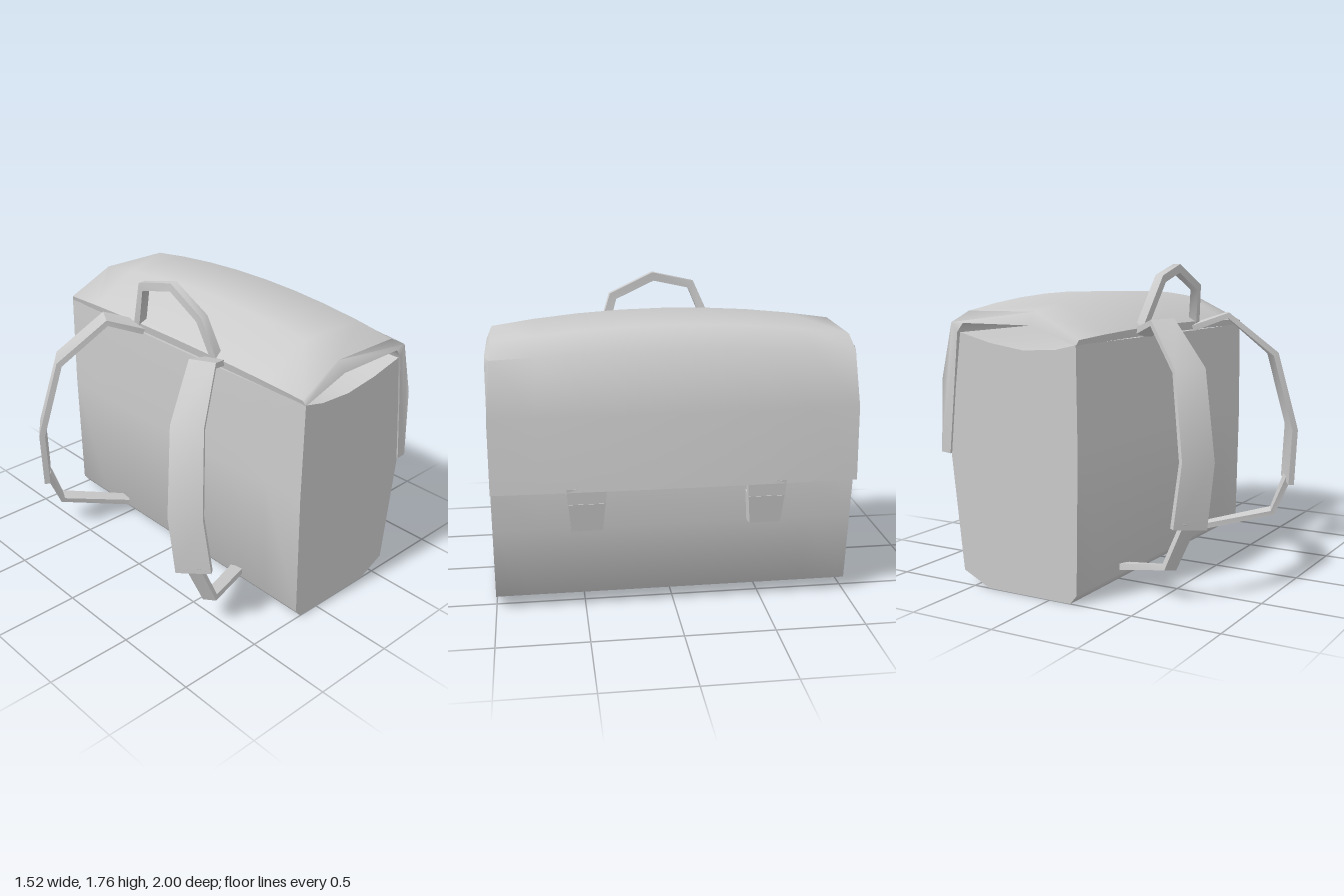
import * as THREE from 'three';
import { toCreasedNormals } from 'three/addons/utils/BufferGeometryUtils.js';

const material = new THREE.MeshStandardMaterial({ color: 0xcccccc, side: THREE.DoubleSide });

// Skin a row of closed loops; outline is the 2D shape used to fill both ends.
function loft(name, loops, outline, crease) {
  const n = outline.length;
  const last = (loops.length - 1) * n;
  const index = [];
  for (let i = 0; i < loops.length - 1; i++) {
    for (let j = 0; j < n; j++) {
      const a = i * n + j, b = i * n + (j + 1) % n;
      index.push(a, b, b + n, a, b + n, a + n);
    }
  }
  const flat = outline.map(([x, y]) => new THREE.Vector2(x, y));
  for (const [a, b, c] of THREE.ShapeUtils.triangulateShape(flat, [])) {
    index.push(c, b, a, last + a, last + b, last + c);
  }
  const geometry = new THREE.BufferGeometry();
  geometry.setAttribute('position', new THREE.Float32BufferAttribute(loops.flat(2), 3));
  geometry.setIndex(index);
  const mesh = new THREE.Mesh(toCreasedNormals(geometry, crease), material);
  mesh.name = name;
  return mesh;
}

// Profile rows are [x, y, bulgeX, bulgeY, inset]; the bulge is fullest at z = 0.
function bulgedPanel(name, profile) {
  const loops = [-1, -0.75, -0.5, -0.25, 0, 0.25, 0.5, 0.75, 1].map((z) => {
    const k = 1 - z * z;
    return profile.map(([x, y, bx = 0, by = 0, inset = 0]) =>
      [x + bx * k, y + by * k, z * (1 - inset)]);
  });
  return loft(name, loops, profile, 1.15);
}

// Flat band along points [x, y, z, width], lying across the given direction.
function band(name, points, across, thickness) {
  const path = points.map(([x, y, z]) => new THREE.Vector3(x, y, z));
  const loops = path.map((p, i) => {
    const before = path[Math.max(i - 1, 0)], after = path[Math.min(i + 1, path.length - 1)];
    const t = new THREE.Vector3();
    if (i > 0) t.add(p.clone().sub(before).normalize());
    if (i < path.length - 1) t.add(after.clone().sub(p).normalize());
    t.normalize();
    const w = across.clone().addScaledVector(t, -across.dot(t)).normalize();
    const u = t.clone().cross(w);
    return [[-1, -1], [1, -1], [1, 1], [-1, 1]].map(([a, b]) =>
      p.clone().addScaledVector(w, a * points[i][3] / 2)
        .addScaledVector(u, b * thickness / 2).toArray());
  });
  return loft(name, loops, [[-1, -1], [1, -1], [1, 1], [-1, 1]], 0.95);
}

// Side profile carried across z, with its width tapering from top to bottom.
function taperedBlock(name, profile, z, topHalf, bottomHalf) {
  const ys = profile.map((p) => p[1]);
  const low = Math.min(...ys), high = Math.max(...ys);
  const loops = [-1, 1].map((s) => profile.map(([x, y]) =>
    [x, y, z + s * THREE.MathUtils.lerp(bottomHalf, topHalf, (y - low) / (high - low))]));
  return loft(name, loops, profile, 0.5);
}

export function createModel() {
  const bag = new THREE.Group();
  bag.name = 'satchelBackpack';

  // Main compartment with a sagging top and a slightly bulged back
  bag.add(bulgedPanel('body', [
    [-0.17, 0.05], [-0.13, 0], [0.4, 0], [0.57, 0.08], [0.615, 0.49],
    [0.64, 0.72], [0.6, 1.1], [0.56, 1.4], [0.36, 1.35], [0.15, 1.32],
    [-0.05, 1.33], [-0.18, 1.36, -0.02], [-0.185, 0.8, -0.025],
  ]));

  // Closing flap, arched over the top and hanging down the front
  bag.add(bulgedPanel('flap', [
    [0.65, 0.73, 0.02, 0.01], [0.71, 0.735, 0.04, 0.01], [0.69, 1.15, 0.03],
    [0.64, 1.45, 0.03, 0.03, 0.025], [0.52, 1.515, 0.01, 0.075, 0.03],
    [0.09, 1.52, 0, 0.08, 0.03], [-0.19, 1.385, -0.01, 0.03, 0.015],
    [-0.18, 1.355, -0.01, 0.01], [0.11, 1.45], [0.54, 1.45], [0.58, 1.4],
  ]));

  // Carrying handle
  bag.add(band('topHandle', [
    [-0.175, 1.4, 0.33, 0.05], [-0.22, 1.62, 0.26, 0.05], [-0.215, 1.735, 0.02, 0.045],
    [-0.235, 1.68, -0.21, 0.05], [-0.175, 1.4, -0.33, 0.05],
  ], new THREE.Vector3(1, 0, 0), 0.05));

  for (const s of [1, -1]) {
    const side = s > 0 ? 'left' : 'right';

    // Padded shoulder strap and the thin webbing below it
    const across = new THREE.Vector3(0.58, 0, 0.81 * s);
    bag.add(band(side + 'ShoulderPad', [
      [-0.17, 1.375, 0.32 * s, 0.13], [-0.36, 1.45, 0.42 * s, 0.15], [-0.6, 1.215, 0.57 * s, 0.18],
      [-0.695, 0.75, 0.66 * s, 0.19], [-0.665, 0.4, 0.69 * s, 0.2],
    ], across, 0.035));
    bag.add(band(side + 'LowerStrap', [
      [-0.665, 0.43, 0.69 * s, 0.08], [-0.56, 0.185, 0.705 * s, 0.08], [-0.17, 0.085, 0.52 * s, 0.08],
    ], across, 0.035));

    // Clasp on the body and the flap tab that reaches it
    bag.add(taperedBlock(side + 'Clasp',
      [[0.612, 0.49], [0.7, 0.505], [0.73, 0.67], [0.638, 0.68]], 0.49 * s, 0.1, 0.085));
    bag.add(taperedBlock(side + 'ClaspTab',
      [[0.685, 0.65], [0.725, 0.65], [0.737, 0.76], [0.685, 0.76]], 0.49 * s, 0.107, 0.1));
  }
  return bag;
}
